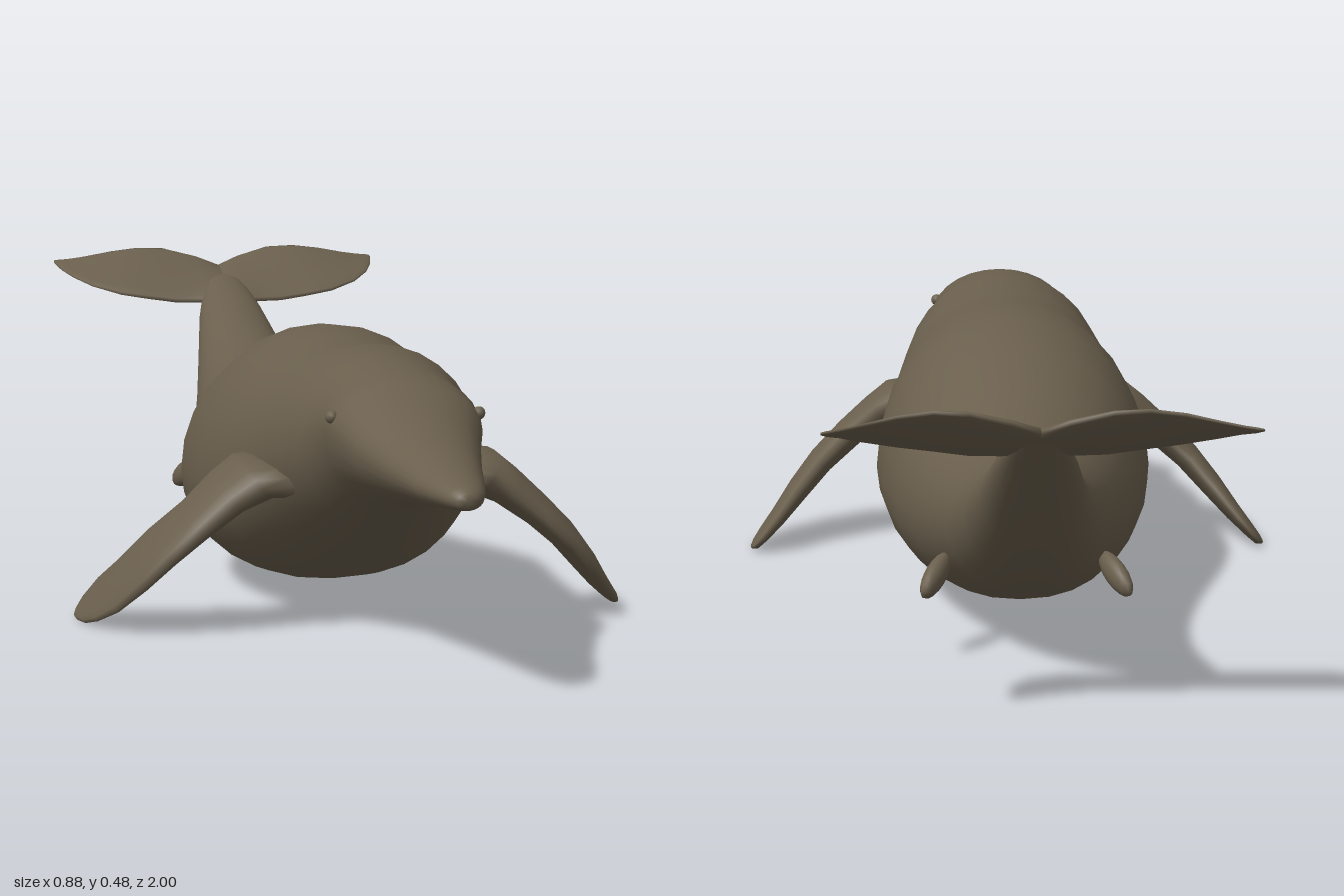
import * as THREE from 'three';

const hide = new THREE.MeshStandardMaterial({ color: 0x6a5f4d });
hide.name = 'grey brown hide';

// Skin closed rings of points into a smooth, capped surface; side -1 mirrors it.
function loft(rings, side = 1) {
  const n = rings[0].length, pos = [], idx = [];
  const tri = (a, b, c) => (side > 0 ? idx.push(a, b, c) : idx.push(a, c, b));
  const add = (p) => pos.push(p.x * side, p.y, p.z);
  rings.forEach((ring) => ring.forEach(add));
  for (let i = 0; i < rings.length - 1; i++) {
    for (let j = 0; j < n; j++) {
      const k = (j + 1) % n;
      const a = i * n + j, b = i * n + k, c = a + n, d = b + n;
      tri(a, c, b);
      tri(b, c, d);
    }
  }
  const mid = (ring) => ring.reduce((s, p) => s.add(p), new THREE.Vector3()).divideScalar(n);
  const last = (rings.length - 1) * n, first = rings.length * n;
  add(mid(rings[0]));
  add(mid(rings[rings.length - 1]));
  for (let j = 0; j < n; j++) {
    const k = (j + 1) % n;
    tri(first, j, k);
    tri(first + 1, last + k, last + j);
  }
  const g = new THREE.BufferGeometry();
  g.setAttribute('position', new THREE.Float32BufferAttribute(pos, 3));
  g.setIndex(idx);
  g.computeVertexNormals();
  return g;
}

// Body ring: egg-shaped, widest at the given fraction of its height.
function bodyRing([z, top, bottom, halfWidth, wide]) {
  const cy = bottom + (top - bottom) * wide;
  return Array.from({ length: 28 }, (_, j) => {
    const t = (j / 28) * Math.PI * 2, c = Math.cos(t), s = Math.sin(t);
    const x = Math.sign(c) * Math.abs(c) ** (s < 0 ? 0.88 : 1) * halfWidth;
    return new THREE.Vector3(x, cy + s * (s > 0 ? top - cy : cy - bottom), z);
  });
}

// Fin ring: thin ellipse between a leading and a trailing point.
function finRing([x, yLead, zLead, yTrail, zTrail, thick], normal) {
  const lead = new THREE.Vector3(x, yLead, zLead), trail = new THREE.Vector3(x, yTrail, zTrail);
  const centre = lead.clone().add(trail).multiplyScalar(0.5);
  const chord = lead.sub(centre);
  return Array.from({ length: 16 }, (_, j) => {
    const t = (j / 16) * Math.PI * 2;
    return centre.clone().addScaledVector(chord, Math.cos(t)).addScaledVector(normal, Math.sin(t) * thick);
  });
}

export function createModel() {
  const model = new THREE.Group();
  model.name = 'whale';
  const add = (name, geometry) => {
    const m = new THREE.Mesh(geometry, hide);
    m.name = name;
    model.add(m);
    return m;
  };

  // Body from snout to tail stock: z, top, bottom, half width, widest fraction
  const body = [
    [1.0, 0.308, 0.285, 0.015, 0.5], [0.985, 0.316, 0.281, 0.027, 0.5],
    [0.95, 0.323, 0.277, 0.038, 0.5], [0.9, 0.333, 0.272, 0.05, 0.5],
    [0.8, 0.357, 0.262, 0.071, 0.52], [0.7, 0.386, 0.248, 0.095, 0.56],
    [0.64, 0.416, 0.235, 0.113, 0.6], [0.6, 0.427, 0.225, 0.119, 0.6],
    [0.55, 0.435, 0.207, 0.122, 0.55], [0.5, 0.443, 0.185, 0.135, 0.5],
    [0.4, 0.45, 0.137, 0.168, 0.47], [0.3, 0.437, 0.09, 0.19, 0.45],
    [0.2, 0.44, 0.052, 0.203, 0.42], [0.1, 0.448, 0.031, 0.219, 0.41],
    [0, 0.439, 0.02, 0.225, 0.42], [-0.1, 0.41, 0.015, 0.215, 0.44],
    [-0.2, 0.367, 0.024, 0.195, 0.46], [-0.3, 0.336, 0.044, 0.17, 0.48],
    [-0.4, 0.322, 0.073, 0.145, 0.5], [-0.5, 0.323, 0.107, 0.121, 0.5],
    [-0.6, 0.339, 0.16, 0.1, 0.5], [-0.7, 0.368, 0.233, 0.08, 0.5],
    [-0.8, 0.41, 0.325, 0.06, 0.5], [-0.87, 0.436, 0.395, 0.04, 0.5],
    [-0.92, 0.445, 0.43, 0.015, 0.5],
  ];
  add('body', loft(body.map(bodyRing)));

  // Fin sections: x, leading y z, trailing y z, half thickness
  const flipper = [
    [0.13, 0.24, 0.46, 0.25, 0.23, 0.045], [0.18, 0.235, 0.44, 0.25, 0.255, 0.04],
    [0.22, 0.21, 0.43, 0.23, 0.27, 0.032], [0.27, 0.17, 0.432, 0.19, 0.285, 0.026],
    [0.32, 0.125, 0.425, 0.145, 0.255, 0.023], [0.36, 0.08, 0.4, 0.1, 0.225, 0.02],
    [0.395, 0.04, 0.36, 0.06, 0.185, 0.015], [0.42, 0.018, 0.315, 0.03, 0.178, 0.011],
    [0.433, 0.008, 0.275, 0.014, 0.19, 0.008], [0.44, 0.006, 0.24, 0.008, 0.21, 0.003],
  ];
  const fluke = [
    [0, 0.4, -0.82, 0.45, -0.945, 0.012], [0.04, 0.392, -0.827, 0.466, -0.96, 0.013],
    [0.1, 0.393, -0.83, 0.482, -0.972, 0.011], [0.15, 0.4, -0.834, 0.484, -0.97, 0.009],
    [0.2, 0.408, -0.842, 0.478, -0.972, 0.008], [0.25, 0.422, -0.87, 0.468, -0.982, 0.006],
    [0.28, 0.436, -0.905, 0.463, -0.992, 0.005], [0.297, 0.447, -0.945, 0.461, -0.998, 0.004],
    [0.305, 0.456, -0.98, 0.46, -0.999, 0.002],
  ];
  const flipperUp = new THREE.Vector3(0.68, 0.73, 0);
  const flukeUp = new THREE.Vector3(0, 0.83, 0.56);

  for (const side of [1, -1]) {
    const label = side > 0 ? 'left' : 'right';
    add(label + 'Flipper', loft(flipper.map((s) => finRing(s, flipperUp)), side));
    add(label + 'Fluke', loft(fluke.map((s) => finRing(s, flukeUp)), side));

    // Small hind limb pointing back, out and down
    const hind = add(label + 'HindLimb', new THREE.SphereGeometry(1, 14, 10));
    hind.scale.set(0.016, 0.022, 0.05);
    hind.position.set(side * 0.138, 0.128, -0.475);
    hind.quaternion.setFromUnitVectors(
      new THREE.Vector3(0, 0, -1), new THREE.Vector3(side * 0.4, -0.45, -0.8).normalize());

    // Eye bump
    const eye = add(label + 'Eye', new THREE.SphereGeometry(0.01, 10, 8));
    eye.position.set(side * 0.112, 0.368, 0.62);
  }
  return model;
}
